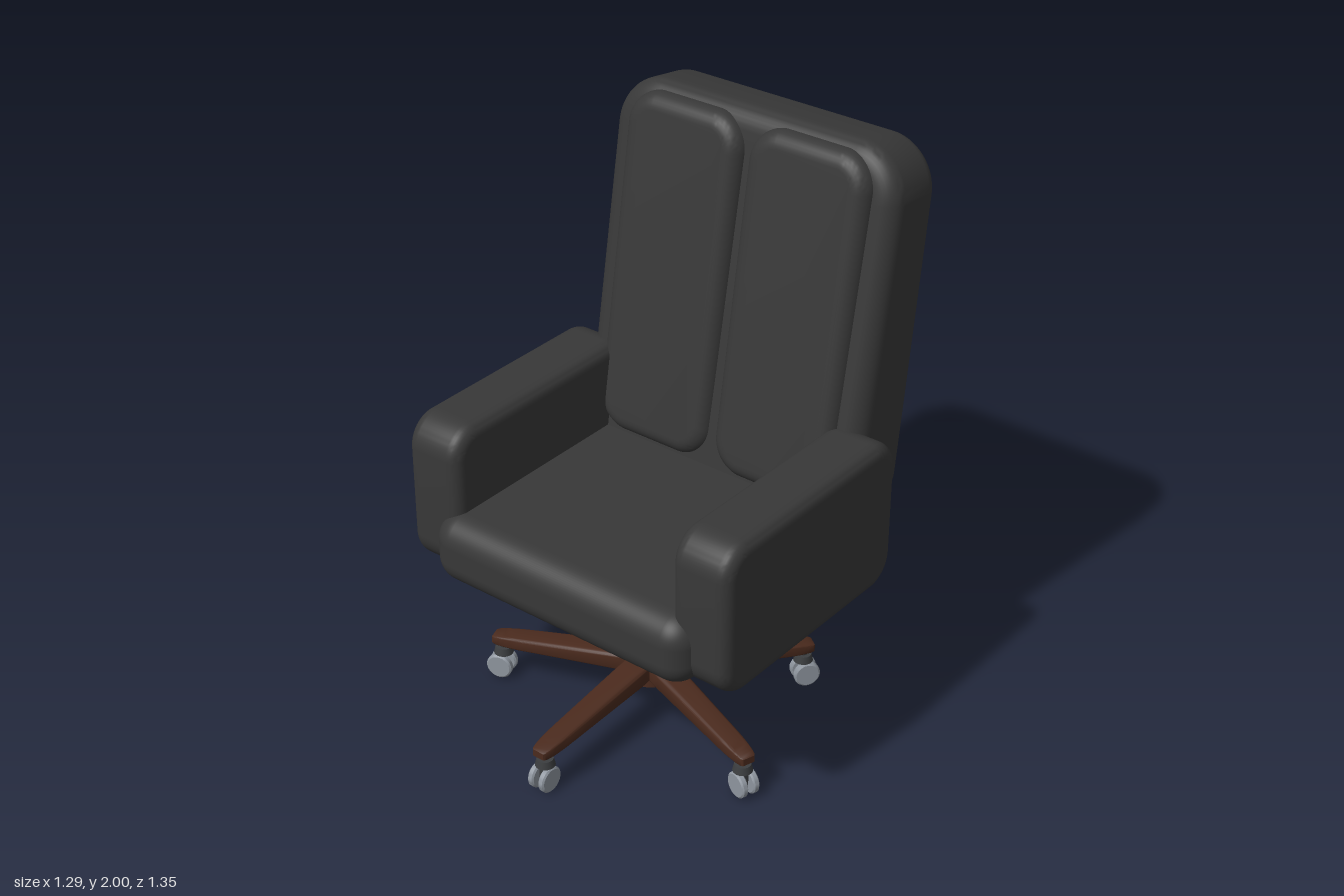
import * as THREE from 'three';
import { toCreasedNormals } from 'three/addons/utils/BufferGeometryUtils.js';
import { RoundedBoxGeometry } from 'three/addons/geometries/RoundedBoxGeometry.js';

const material = (name, color) => {
  const m = new THREE.MeshStandardMaterial({ color });
  m.name = name;
  return m;
};

// Rounded rectangle w x h with corner radius r, d thick, its edges rounded by b
function padGeometry(w, h, d, r, b) {
  const x = w / 2 - b, y = h / 2 - b, c = r - b;
  const s = new THREE.Shape();
  s.moveTo(x, -y + c);
  s.lineTo(x, y - c);
  s.absarc(x - c, y - c, c, 0, Math.PI / 2);
  s.absarc(-x + c, y - c, c, Math.PI / 2, Math.PI);
  s.absarc(-x + c, -y + c, c, Math.PI, Math.PI * 1.5);
  s.absarc(x - c, -y + c, c, Math.PI * 1.5, Math.PI * 2);
  const g = new THREE.ExtrudeGeometry(s, {
    depth: d - 2 * b, bevelThickness: b, bevelSize: b, bevelSegments: 8, curveSegments: 8,
  });
  return g.translate(0, 0, b - d / 2);
}

// Lean a pad backwards: slope is z per unit of height, taper thins it upwards
function lean(g, slope, taper) {
  const p = g.attributes.position;
  for (let i = 0; i < p.count; i++) {
    const y = p.getY(i), z = p.getZ(i) * (1 - taper * y);
    p.setXYZ(i, p.getX(i), y + slope * z, z - slope * y);
  }
  return g;
}

const smooth = (g) => toCreasedNormals(g, 0.6);

// Tapered star-base leg running along +z from the hub to the tip
function legGeometry() {
  const g = new RoundedBoxGeometry(1, 1, 1, 3, 0.2);
  const p = g.attributes.position;
  for (let i = 0; i < p.count; i++) {
    const t = p.getZ(i) + 0.5;
    const top = THREE.MathUtils.lerp(0.235, 0.17, t);
    const bottom = THREE.MathUtils.lerp(0.16, 0.128, t);
    const y = THREE.MathUtils.lerp(bottom, top, p.getY(i) + 0.5);
    p.setXYZ(i, p.getX(i) * THREE.MathUtils.lerp(0.1, 0.072, t), y, 0.573 * t);
  }
  return smooth(g);
}

export function createModel() {
  const leather = material('charcoal leather', 0x383838);
  const metal = material('dark metal', 0x3b3d3f);
  const wood = material('dark brown wood', 0x4a2a1d);
  const wheelGrey = material('wheel grey', 0x8f969f);

  const root = new THREE.Group();
  root.name = 'officeChair';
  const add = (parent, name, geometry, mat, x = 0, y = 0, z = 0) => {
    const m = new THREE.Mesh(geometry, mat);
    m.name = name;
    m.position.set(x, y, z);
    parent.add(m);
    return m;
  };

  // Upholstery
  add(root, 'seat', new RoundedBoxGeometry(1.04, 0.245, 0.995, 8, 0.09), leather, 0, 0.688, 0.087);
  add(root, 'backrest', smooth(lean(padGeometry(1.1, 1.28, 0.285, 0.17, 0.07), 0.15, 0.19)),
    leather, 0, 1.345, -0.457);
  const backPad = smooth(lean(padGeometry(0.46, 1.165, 0.2, 0.12, 0.055), 0.165, 0));
  const armrest = smooth(padGeometry(0.89, 0.54, 0.215, 0.11, 0.045).rotateY(Math.PI / 2));
  for (const [side, s] of [['left', 1], ['right', -1]]) {
    add(root, side + 'BackPad', backPad, leather, s * 0.242, 1.385, -0.382);
    add(root, side + 'Armrest', armrest, leather, s * 0.537, 0.835, 0.085);
  }

  // Tilt mechanism with its lever
  add(root, 'tiltMechanism', new RoundedBoxGeometry(0.34, 0.08, 0.375, 3, 0.012), metal, 0, 0.54, 0.088);
  const leverPath = new THREE.LineCurve3(
    new THREE.Vector3(0.15, 0.528, 0.15), new THREE.Vector3(0.33, 0.515, 0.21));
  add(root, 'lever', new THREE.TubeGeometry(leverPath, 1, 0.009, 10), metal);
  add(root, 'leverKnob', new THREE.SphereGeometry(0.022, 16, 12), metal, 0.33, 0.515, 0.21);

  // Gas column and five-legged base
  const base = new THREE.Group();
  base.name = 'base';
  base.position.z = 0.09;
  root.add(base);
  add(base, 'column', new THREE.CylinderGeometry(0.05, 0.05, 0.27, 28), metal, 0, 0.358, 0);
  add(base, 'columnRod', new THREE.CylinderGeometry(0.035, 0.035, 0.08, 24), metal, 0, 0.5, 0);
  add(base, 'hub', new THREE.CylinderGeometry(0.07, 0.078, 0.112, 28), wood, 0, 0.194, 0);

  const leg = legGeometry();
  const wheel = smooth(new THREE.LatheGeometry([
    [0, -0.012], [0.04, -0.012], [0.046, -0.007], [0.046, 0.007], [0.04, 0.012], [0, 0.012],
  ].map(([x, y]) => new THREE.Vector2(x, y)), 28).rotateZ(Math.PI / 2));
  const stem = new THREE.CylinderGeometry(0.014, 0.014, 0.06, 16);
  const hood = new THREE.CylinderGeometry(0.028, 0.034, 0.026, 20);
  const fork = new THREE.BoxGeometry(0.016, 0.06, 0.03);
  const axle = new THREE.CylinderGeometry(0.008, 0.008, 0.06, 12).rotateZ(Math.PI / 2);
  for (let i = 0; i < 5; i++) {
    const arm = new THREE.Group();
    arm.name = 'legWithCaster' + (i + 1);
    arm.rotation.y = (i * Math.PI * 2) / 5;
    base.add(arm);
    add(arm, 'leg', leg, wood);
    add(arm, 'casterStem', stem, metal, 0, 0.115, 0.54);
    add(arm, 'casterHood', hood, metal, 0, 0.105, 0.54);
    add(arm, 'casterFork', fork, metal, 0, 0.07, 0.546);
    add(arm, 'casterAxle', axle, metal, 0, 0.047, 0.547);
    for (const s of [1, -1]) add(arm, 'casterWheel', wheel, wheelGrey, s * 0.022, 0.046, 0.547);
  }
  return root;
}
